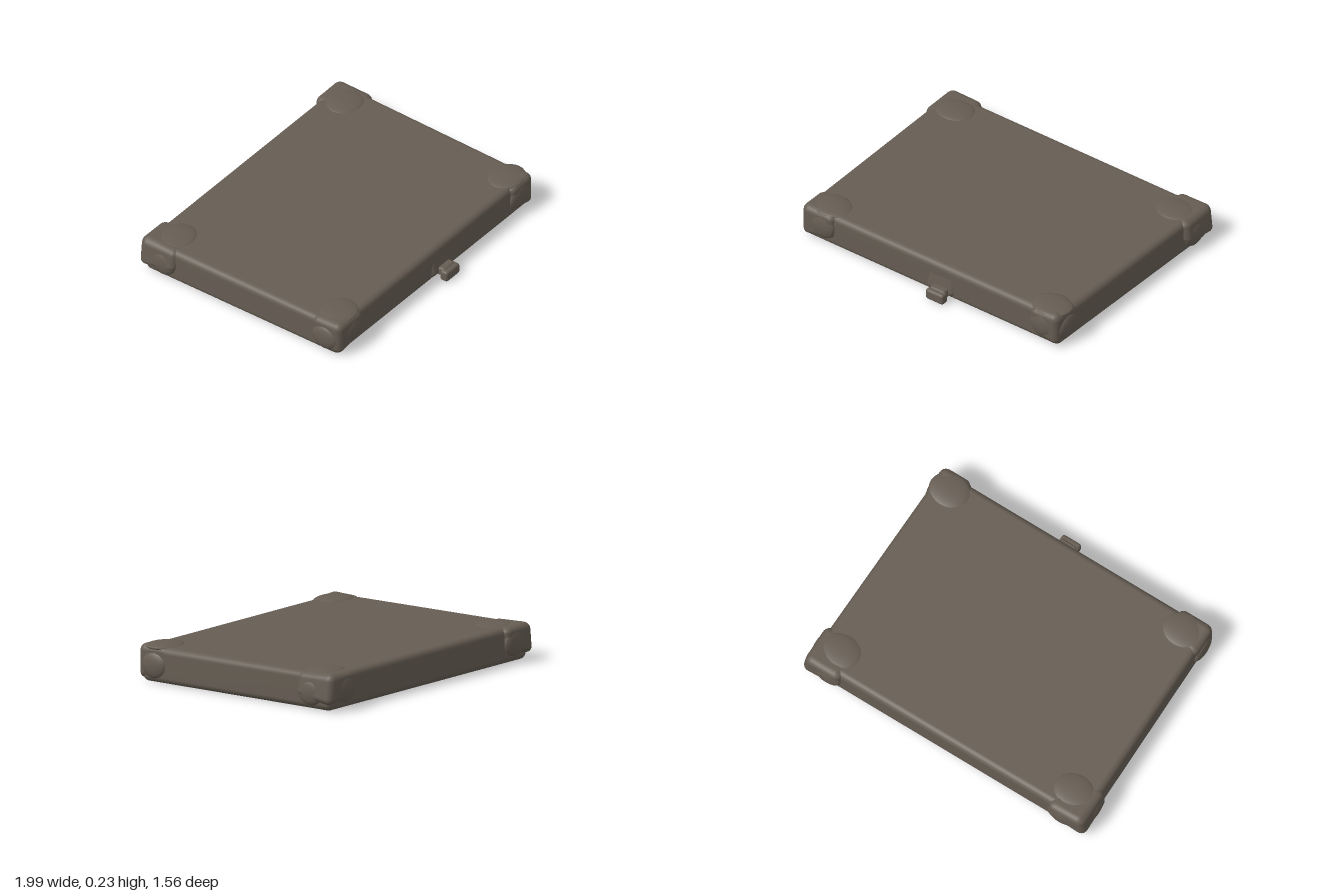
import * as THREE from 'three';
import { RoundedBoxGeometry } from 'three/addons/geometries/RoundedBoxGeometry.js';
import { mergeVertices } from 'three/addons/utils/BufferGeometryUtils.js';

const casing = new THREE.MeshStandardMaterial({ color: 0x665d53 });
casing.name = 'casing';

// Rounded box between two corners; warp(v) may move each vertex.
function block(name, min, max, radius, warp) {
  const size = max.map((m, i) => m - min[i]);
  let geo = new RoundedBoxGeometry(...size, 4, radius);
  geo.translate(...max.map((m, i) => (m + min[i]) / 2));
  geo.deleteAttribute('normal');
  geo.deleteAttribute('uv');
  geo = mergeVertices(geo, 1e-4);
  if (warp) {
    const pos = geo.attributes.position;
    const v = new THREE.Vector3();
    for (let i = 0; i < pos.count; i++) {
      v.fromBufferAttribute(pos, i);
      warp(v);
      pos.setXYZ(i, v.x, v.y, v.z);
    }
  }
  geo.computeVertexNormals();
  const mesh = new THREE.Mesh(geo, casing);
  mesh.name = name;
  return mesh;
}

// Flattened swelling that blends into the surface around it
function swelling(name, center, radii) {
  const mesh = new THREE.Mesh(new THREE.SphereGeometry(1, 24, 16), casing);
  mesh.name = name;
  mesh.position.set(...center);
  mesh.scale.set(...radii);
  return mesh;
}

// Corner guard: a cap with its two ends sinking into the casing, plus raised pads
function cornerGuard(name, sx, sz, x, z, bottom, flare) {
  const group = new THREE.Group();
  group.name = name;
  const innerX = sx * 0.73, innerZ = sz * 0.5;
  const lo = [Math.min(x, innerX), bottom, Math.min(z, innerZ)];
  const hi = [Math.max(x, innerX), 0.232, Math.max(z, innerZ)];
  group.add(block('guardCap', lo, hi, 0.045, (v) => {
    const outX = (v.x - innerX) / (x - innerX);
    const outZ = (v.z - innerZ) / (z - innerZ);
    const up = (v.y - bottom) / (0.232 - bottom);
    v.x += sx * flare * (1 - up) * outX;
    // the top fades into the lid toward the middle
    v.y -= 0.016 * up * (1 - Math.min(1, 1.5 * outX * outZ + 0.4));
    // the lower edge rises along the arms
    v.y += 0.05 * (1 - up) * (1 - Math.min(outX, outZ));
  }));
  const padX = sx * 0.82, padZ = sz * 0.6;
  group.add(swelling('endPad', [padX, 0.13, z - sz * 0.02], [0.09, 0.085, 0.03]));
  group.add(swelling('sidePad', [x - sx * 0.01, 0.11, padZ], [0.03, 0.08, 0.09]));
  group.add(swelling('topPad', [padX, 0.216, padZ], [0.13, 0.022, 0.11]));
  return group;
}

export function createModel() {
  const model = new THREE.Group();
  model.name = 'flatCase';

  // Main slab, slightly narrower toward the front
  model.add(block('caseBody', [-0.965, 0.004, -0.74], [0.96, 0.222, 0.695], 0.04, (v) => {
    const t = (v.z + 0.74) / 1.435;
    v.x -= t * (v.x > 0 ? 0.028 : -0.008);
  }));

  // Guards on the four corners
  model.add(cornerGuard('backLeftGuard', 1, -1, 0.975, -0.768, 0.035, 0.022));
  model.add(cornerGuard('backRightGuard', -1, -1, -0.975, -0.768, 0.035, 0.022));
  model.add(cornerGuard('frontLeftGuard', 1, 1, 0.938, 0.718, 0.012, 0));
  model.add(cornerGuard('frontRightGuard', -1, 1, -0.968, 0.718, 0.012, 0));

  // Front latch: a mount blended into the wall, a neck and a tab
  const latch = new THREE.Group();
  latch.name = 'latch';
  latch.add(block('latchMount', [-0.06, 0.03, 0.64], [0.175, 0.17, 0.715], 0.03, (v) => {
    const s = (v.z - 0.64) / 0.075;
    v.x = 0.06 + (v.x - 0.06) * (1.1 - 0.3 * s);
    v.z -= 0.025 * s * (v.y - 0.03) / 0.14;
  }));
  latch.add(block('latchNeck', [0.015, 0.025, 0.68], [0.125, 0.082, 0.75], 0.015));
  latch.add(block('latchTab', [0.004, 0.004, 0.722], [0.136, 0.075, 0.779], 0.018));
  model.add(latch);

  return model;
}
